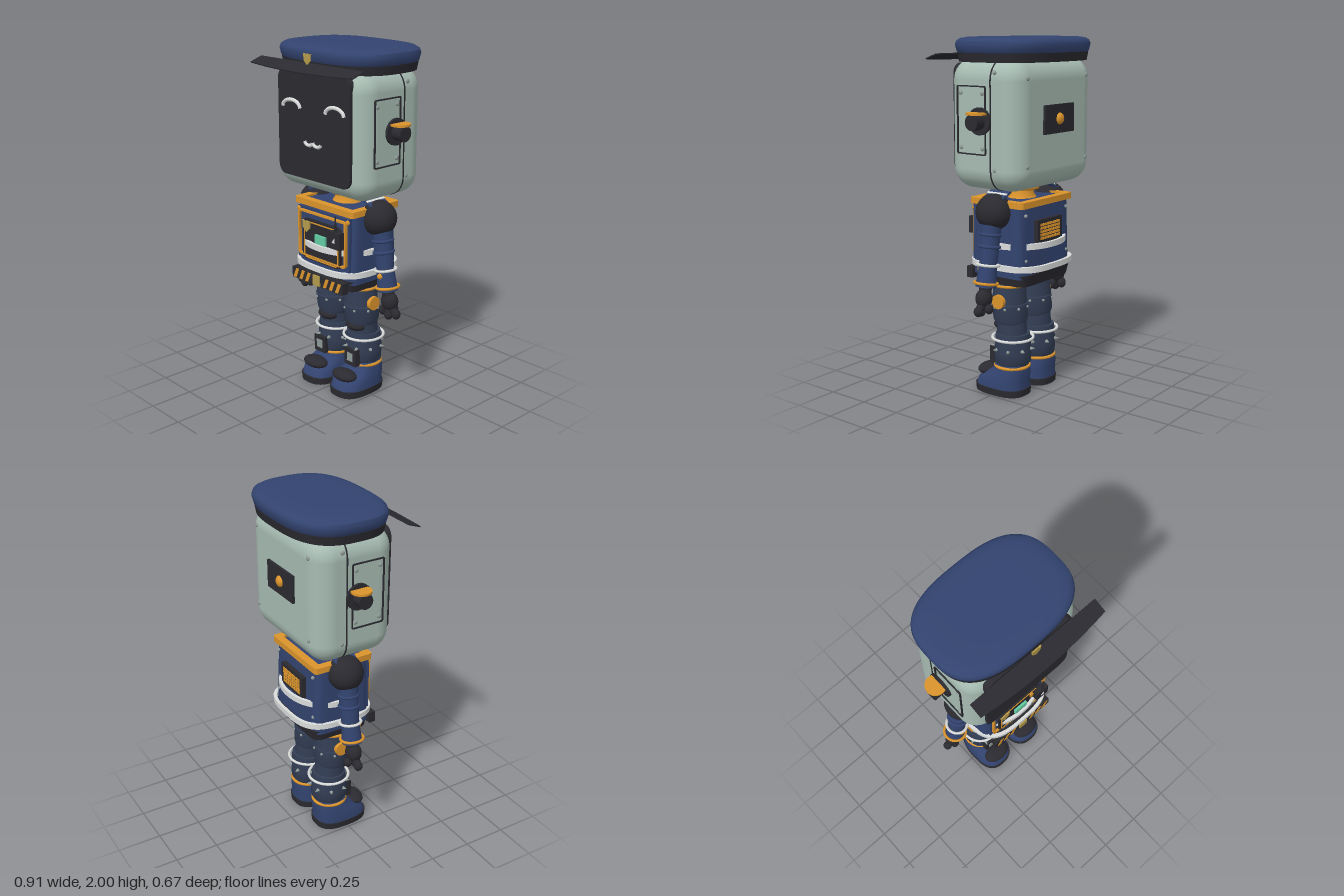
import * as THREE from 'three';
import { toCreasedNormals } from 'three/addons/utils/BufferGeometryUtils.js';
import { RoundedBoxGeometry } from 'three/addons/geometries/RoundedBoxGeometry.js';

const mat = (name, color) => Object.assign(new THREE.MeshStandardMaterial({ color }), { name });
const V = (x, y, z) => new THREE.Vector3(x, y, z);

export function createModel() {
  const root = new THREE.Group();
  root.name = 'robotOfficer';
  const navy = mat('navy', 0x32436f), slate = mat('slate', 0x333e55), black = mat('black', 0x2a2a30);
  const shell = mat('paleGreen', 0xa6bbb1), orange = mat('orange', 0xdb942c), gold = mat('gold', 0xb59a4c);
  const white = mat('white', 0xdadcdc), steel = mat('steel', 0x8e9997), mint = mat('mint', 0x63cda4);
  black.side = THREE.DoubleSide;

  const add = (name, geo, m, p = [0, 0, 0], r = [0, 0, 0]) => {
    const mesh = new THREE.Mesh(geo, m);
    mesh.name = name;
    mesh.position.set(...p);
    mesh.rotation.set(...r);
    root.add(mesh);
    return mesh;
  };
  const box = (name, w, h, d, m, p, r) => add(name, new THREE.BoxGeometry(w, h, d), m, p, r);
  const ball = (name, r, m, p, s = [1, 1, 1]) => add(name, new THREE.SphereGeometry(r, 24, 16), m, p).scale.set(...s);
  const ring = (name, r, t, m, p, rot = [Math.PI / 2, 0, 0]) => add(name, new THREE.TorusGeometry(r, t, 10, 40), m, p, rot);

  // Stacked superellipse sections; each row is [y, half width, half depth, z]
  const loft = (rows, n = 2, seg = 64) => {
    const pos = [], idx = [], pw = v => Math.sign(v) * Math.abs(v) ** (2 / n);
    const all = [[rows[0][0], 0.001, 0.001, rows[0][3]], ...rows, [rows.at(-1)[0], 0.001, 0.001, rows.at(-1)[3]]];
    all.forEach(([y, sx, sz, z = 0], i) => {
      for (let j = 0; j < seg; j++) {
        const t = j / seg * Math.PI * 2;
        pos.push(sx * pw(Math.cos(t)), y, z + sz * pw(Math.sin(t)));
        if (i < all.length - 1) {
          const a = i * seg + j, b = i * seg + (j + 1) % seg;
          idx.push(a, a + seg, b, a + seg, b + seg, b);
        }
      }
    });
    const g = new THREE.BufferGeometry();
    g.setAttribute('position', new THREE.Float32BufferAttribute(pos, 3));
    g.setIndex(idx);
    return toCreasedNormals(g, 0.7);
  };
  // Rounded rectangle, optionally hollow with a border of width b
  const rrect = (w, h, r, b = 0) => {
    const draw = (s, x, y, q) => {
      s.moveTo(-x + q, -y).lineTo(x - q, -y).absarc(x - q, -y + q, q, -Math.PI / 2, 0);
      s.absarc(x - q, y - q, q, 0, Math.PI / 2).absarc(-x + q, y - q, q, Math.PI / 2, Math.PI);
      s.absarc(-x + q, -y + q, q, Math.PI, Math.PI * 1.5);
      return s;
    };
    const s = draw(new THREE.Shape(), w / 2, h / 2, r);
    if (b) s.holes.push(draw(new THREE.Path(), w / 2 - b, h / 2 - b, Math.max(r - b, 0.005)));
    return s;
  };
  const poly = pts => new THREE.Shape(pts.map(p => new THREE.Vector2(...p)));
  const slab = (s, depth) => toCreasedNormals(new THREE.ExtrudeGeometry(s, { depth, bevelEnabled: false, curveSegments: 10 }), 0.6);
  const tube = (name, pts, r, m) => add(name, new THREE.TubeGeometry(new THREE.CatmullRomCurve3(pts), 32, r, 8), m);
  // Tapered limb section between two points
  const limb = (name, a, b, ra, rb, m) => {
    const d = b.clone().sub(a);
    const mesh = add(name, new THREE.CylinderGeometry(rb, ra, d.length(), 28), m);
    mesh.position.copy(a).addScaledVector(d, 0.5);
    mesh.quaternion.setFromUnitVectors(V(0, 1, 0), d.normalize());
  };
  const shield = s => poly([[-1, 1], [-0.4, 0.85], [0, 1], [0.4, 0.85], [1, 1], [0.9, -0.3], [0, -1.15], [-0.9, -0.3]].map(p => [p[0] * s, p[1] * s]));

  // Head shell with seam and face screen
  add('head', new RoundedBoxGeometry(0.73, 0.7, 0.48, 8, 0.115), shell, [0, 1.54, -0.037]);
  add('headSeam', slab(rrect(0.735, 0.705, 0.117, 0.01), 0.008), black, [0, 1.54, -0.108]);
  add('faceScreen', slab(rrect(0.57, 0.59, 0.055), 0.035), black, [0, 1.565, 0.18]);
  for (const s of [1, -1]) {
    const arc = [...Array(9)].map((_, i) => V(s * 0.172 + 0.071 * Math.cos(i * Math.PI / 8), 1.655 + 0.04 * Math.sin(i * Math.PI / 8), 0.217));
    tube('smilingEye', arc, 0.011, white);
    const lip = [...Array(7)].map((_, i) => V(s * 0.033 + 0.031 * Math.cos(i * Math.PI / 6), 1.483 - 0.02 * Math.sin(i * Math.PI / 6), 0.217));
    tube('mouth', lip, 0.01, white);

    // Side plate and ear
    add('sidePlateOutline', slab(rrect(0.195, 0.365, 0.01, 0.007), 0.008), black, [s * 0.364, 1.567, 0.022], [0, s * Math.PI / 2, 0]);
    for (const z of [0.095, -0.05]) for (const y of [1.42, 1.71]) ball('plateRivet', 0.012, steel, [s * 0.366, y, z], [0.6, 1, 1]);
    for (const y of [1.31, 1.82]) ball('shellRivet', 0.012, steel, [s * 0.362, y, -0.13], [0.6, 1, 1]);
    for (const y of [1.33, 1.79]) ball('backRivet', 0.012, steel, [s * 0.27, y, -0.276], [1, 1, 0.6]);
    add('earBase', new THREE.CylinderGeometry(0.073, 0.073, 0.02, 32), black, [s * 0.37, 1.565, -0.037], [0, 0, Math.PI / 2]);
    add('earStem', new THREE.CylinderGeometry(0.042, 0.042, 0.09, 28), black, [s * 0.397, 1.562, -0.037], [0, 0, Math.PI / 2]);
    add('earCap', new THREE.CylinderGeometry(0.056, 0.056, 0.012, 32), orange, [s * 0.4, 1.607, -0.04]);
  }
  box('backPlate', 0.27, 0.155, 0.02, black, [0, 1.567, -0.28]);
  ball('backLamp', 0.032, orange, [0, 1.567, -0.287], [1, 1, 0.7]);

  // Cap, band, visor and badge
  add('cap', loft([[1.91, 0.385, 0.27, -0.05], [1.925, 0.398, 0.278, -0.05], [1.96, 0.405, 0.287, -0.05],
    [1.98, 0.398, 0.28, -0.05], [1.993, 0.375, 0.262, -0.05], [1.999, 0.33, 0.23, -0.05], [2, 0.2, 0.15, -0.05]], 2.8, 80), navy);
  add('capBand', loft([[1.87, 0.385, 0.268, -0.05], [1.918, 0.394, 0.276, -0.05]], 2.8, 80), black);
  const visor = new THREE.Shape().moveTo(-0.402, 0).lineTo(0.402, 0).lineTo(0.402, 0.08).quadraticCurveTo(0, 0.132, -0.402, 0.08);
  add('visor', slab(visor, 0.006), black, [0, 1.912, 0.235], [Math.PI / 2 + 0.34, 0, 0]);
  add('capBadge', slab(shield(0.028), 0.008), gold, [0, 1.935, 0.247]);

  // Neck and torso
  add('neck', loft([[1.11, 0.09, 0.08, -0.037], [1.14, 0.07, 0.06, -0.037], [1.2, 0.07, 0.06, -0.037]]), orange);
  ring('neckRing', 0.085, 0.014, orange, [0, 1.175, -0.037]);
  add('torso', loft([[0.7, 0.238, 0.178, -0.035], [1.1, 0.234, 0.165, -0.035]], 9), navy);
  add('shoulderTrim', slab(rrect(0.476, 0.365, 0.02, 0.045), 0.035), orange, [0, 1.126, -0.033], [Math.PI / 2, 0, 0]);
  box('torsoTop', 0.4, 0.02, 0.29, navy, [0, 1.105, -0.033]);
  add('waist', loft([[0.655, 0.222, 0.175, -0.037], [0.72, 0.236, 0.188, -0.037]], 8), black);

  // Chest panel
  box('chestPlate', 0.42, 0.35, 0.02, navy, [0, 0.905, 0.136]);
  add('chestFrame', slab(rrect(0.39, 0.27, 0.02, 0.012), 0.02), orange, [0, 0.93, 0.142]);
  add('chestScreen', slab(rrect(0.31, 0.24, 0.03), 0.02), black, [0, 0.9, 0.142]);
  add('screenTrim', slab(rrect(0.285, 0.22, 0.03, 0.007), 0.005), orange, [0, 0.897, 0.161]);
  box('chestCard', 0.085, 0.06, 0.015, mint, [0.002, 0.915, 0.168]);
  add('chestBadge', slab(shield(0.032), 0.008), gold, [-0.116, 0.978, 0.164]);
  box('radio', 0.085, 0.095, 0.04, black, [0.142, 0.957, 0.18]);
  limb('radioAntenna', V(0.146, 1, 0.19), V(0.146, 1.095, 0.19), 0.006, 0.005, black);
  box('radioClip', 0.02, 0.035, 0.015, orange, [0.085, 0.975, 0.166]);
  add('radioMark', slab(poly([[-0.01, -0.015], [0.012, -0.015], [0.01, 0.015]]), 0.003), white, [0.14, 0.96, 0.2]);
  for (const s of [1, -1]) ball('chestScrew', 0.014, orange, [s * 0.2, 1.062, 0.148], [1, 1, 0.6]);

  // Reflective straps wrapping the body
  const strap = (name, y, sx, sz, n) => {
    const oval = k => [...Array(96)].map((_, i) => {
      const t = i / 48 * Math.PI, f = v => Math.sign(v) * Math.abs(v) ** (2 / n);
      return new THREE.Vector2((sx - k) * f(Math.cos(t)), (sz - k) * f(Math.sin(t)));
    });
    const s = new THREE.Shape(oval(0));
    s.holes.push(new THREE.Path(oval(0.018)));
    add(name, slab(s, 0.032), white, [0, y + 0.016, -0.037], [Math.PI / 2, 0, 0]);
  };
  strap('upperStrap', 0.877, 0.256, 0.228, 2.2);
  strap('lowerStrap', 0.757, 0.262, 0.24, 3.2);

  // Hazard belt with buckle
  box('hazardBelt', 0.42, 0.065, 0.04, black, [0, 0.688, 0.176]);
  for (const s of [1, -1]) for (const x of [0.075, 0.125, 0.175])
    add('hazardStripe', slab(poly([[-0.024, -0.028], [0, -0.028], [0.024, 0.028], [0, 0.028]]), 0.004), orange, [s * x, 0.688, 0.195]);
  box('buckle', 0.055, 0.06, 0.02, gold, [0, 0.688, 0.195]);

  // Back vent
  box('ventPanel', 0.23, 0.13, 0.03, black, [0, 0.95, -0.215]);
  for (let i = 0; i < 8; i++) for (let j = 0; j < 5; j++)
    box('ventCell', 0.018, 0.014, 0.008, orange, [(i - 3.5) * 0.023, 0.95 + (j - 2) * 0.019, -0.23]);
  for (const s of [1, -1]) for (const y of [0.8, 1.05]) ball('torsoRivet', 0.01, steel, [s * 0.19, y, -0.205]);

  for (const s of [1, -1]) {
    // Shoulder and arm
    const z = -0.037, at = (x, y, dz = 0) => V(s * x, y, z + dz);
    const tilt = [Math.PI / 2, s * 0.15, 0];
    ball('shoulder', 0.1, black, [s * 0.255, 1.065, z]);
    box('epaulette', 0.085, 0.014, 0.13, navy, [s * 0.222, 1.155, z], [0, 0, -s * 0.45]);
    box('epauletteStripe', 0.014, 0.006, 0.132, white, [s * 0.226, 1.162, z], [0, 0, -s * 0.45]);
    limb('upperArm', at(0.28, 1), at(0.305, 0.79), 0.058, 0.05, navy);
    for (const [x, y] of [[0.287, 0.945], [0.294, 0.88]]) ring('sleeveRing', 0.054, 0.009, navy, [s * x, y, z], tilt);
    ring('whiteArmRing', 0.06, 0.008, white, [s * 0.308, 0.78, z], tilt);
    ball('elbow', 0.05, slate, [s * 0.31, 0.76, z]);
    ball('elbowStud', 0.017, orange, [s * 0.315, 0.75, z + 0.047]);
    limb('forearm', at(0.31, 0.77), at(0.328, 0.66), 0.05, 0.058, navy);
    ring('cuff', 0.064, 0.008, orange, [s * 0.327, 0.682, z], tilt);
    // Hand with stubby fingers
    limb('wrist', at(0.33, 0.67), at(0.335, 0.63), 0.035, 0.035, black);
    ball('palm', 0.052, black, [s * 0.345, 0.6, z], [1, 1.05, 0.85]);
    for (const [x, y, dz] of [[0.395, 0.535, 0], [0.352, 0.525, 0.015], [0.305, 0.54, 0.01], [0.345, 0.545, -0.035]]) {
      limb('finger', at(0.345, 0.59), at(x, y, dz), 0.024, 0.022, black);
      ball('fingertip', 0.025, black, [s * x, y, z + dz], [1, 1.15, 1]);
    }

    // Thigh and knee
    const lx = s * 0.117;
    const leg = (name, rows, m, n) => { add(name, loft(rows, n, 40), m, [lx, 0, 0]); };
    leg('hip', [[0.53, 0.098, 0.098, z], [0.66, 0.09, 0.09, z]], slate);
    ring('hipRing', 0.097, 0.008, orange, [lx, 0.637, z]);
    leg('thigh', [[0.415, 0.09, 0.088, -0.045], [0.44, 0.1, 0.096, -0.045], [0.525, 0.104, 0.1, z]], slate);
    add('hipDisc', new THREE.CylinderGeometry(0.04, 0.04, 0.03, 28), orange, [s * 0.214, 0.55, z], [0, 0, Math.PI / 2]);
    leg('kneeJoint', [[0.34, 0.085, 0.085, -0.055], [0.43, 0.085, 0.085, -0.05]], slate);
    ball('kneeCap', 0.07, black, [lx, 0.4, 0.0], [1, 0.5, 0.75]);
    // Shin with ring and spikes
    leg('shin', [[0.17, 0.09, 0.09, -0.06], [0.19, 0.104, 0.102, -0.06], [0.25, 0.108, 0.105, -0.06], [0.355, 0.098, 0.096, -0.06]], slate);
    ring('shinRing', 0.116, 0.008, white, [lx, 0.328, -0.06]);
    for (let i = 0; i < 8; i++) {
      const a = (i + 0.5) * Math.PI / 4, c = Math.cos(a), d = Math.sin(a);
      limb('shinSpike', V(lx + 0.1 * c, 0.265, -0.06 + 0.1 * d), V(lx + 0.13 * c, 0.268, -0.06 + 0.13 * d), 0.012, 0.001, steel);
      ball('thighRivet', 0.008, steel, [lx + 0.104 * c, 0.508, -0.039 + 0.1 * d]);
    }
    box('shinBox', 0.09, 0.1, 0.04, black, [s * 0.13, 0.215, 0.042]);
    box('shinBoxPlate', 0.045, 0.05, 0.006, steel, [s * 0.13, 0.217, 0.063]);
    // Boot
    const boot = (name, rows, m) => add(name, loft(rows, 2.7), m, [s * 0.124, 0, 0]);
    ring('ankleRing', 0.096, 0.009, orange, [s * 0.122, 0.165, -0.06]);
    boot('boot', [[0.035, 0.112, 0.157, 0.003], [0.075, 0.11, 0.148, -0.005], [0.11, 0.104, 0.125, -0.03], [0.14, 0.096, 0.1, -0.055], [0.18, 0.088, 0.088, -0.06]], navy);
    boot('sole', [[0, 0.112, 0.16, 0.003], [0.04, 0.116, 0.163, 0.003]], black);
    ball('toeCap', 0.09, black, [s * 0.124, 0.115, 0.1], [0.95, 0.36, 0.62]);
  }
  return root;
}
